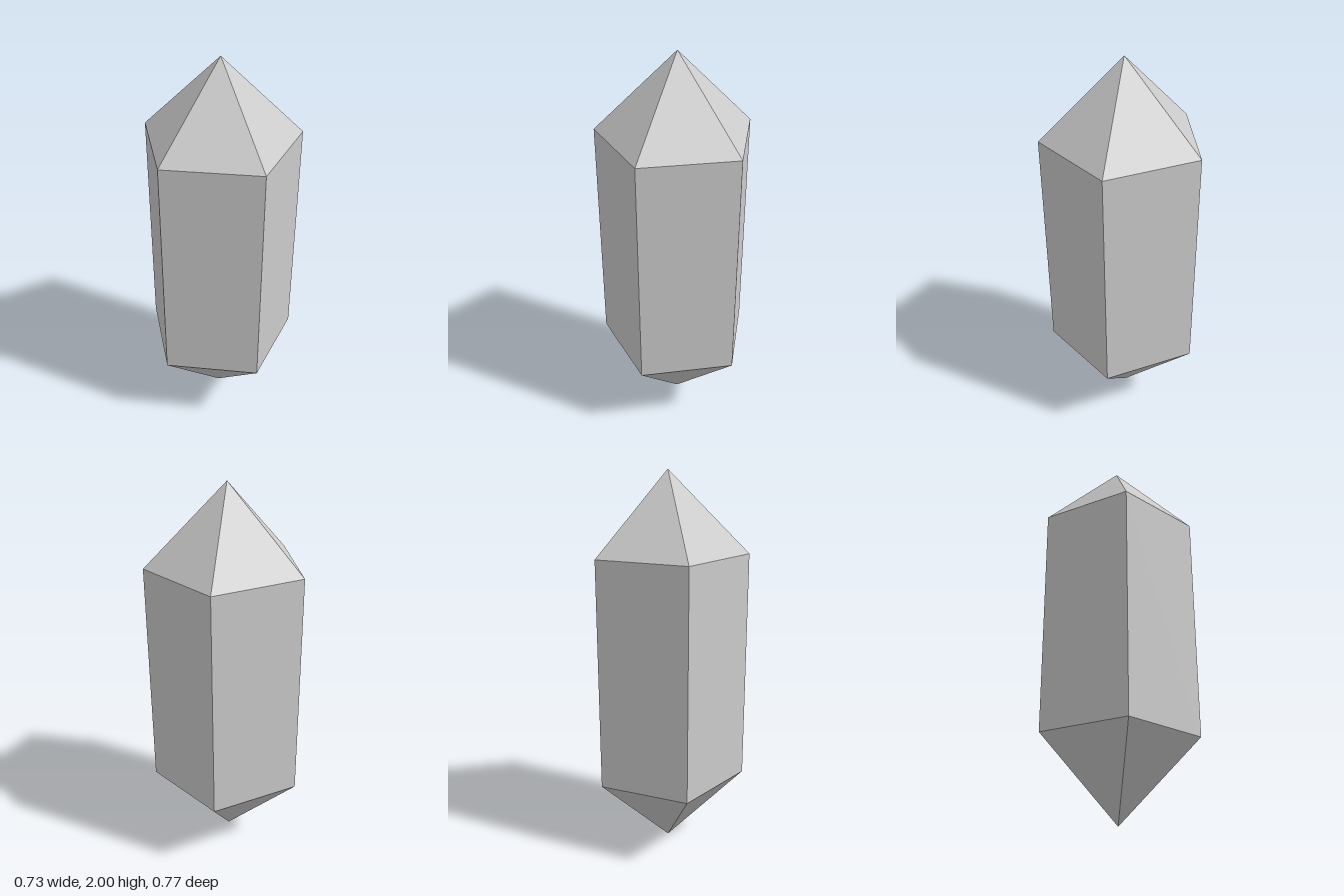
import * as THREE from 'three';

const SIDES = 5;
const RADIUS = 0.406;
const TIP = 0.405; // height of each pointed end
const HEIGHT = 2;

export function createModel() {
  const group = new THREE.Group();
  group.name = 'crystal';
  const material = new THREE.MeshStandardMaterial({ color: 0xcccccc, flatShading: true });

  // Five-sided shaft with a point at both ends, one edge towards -x
  const profile = [
    [0, 0],
    [RADIUS, TIP],
    [RADIUS, HEIGHT - TIP],
    [0, HEIGHT],
  ].map(([r, y]) => new THREE.Vector2(r, y));
  const crystal = new THREE.Mesh(new THREE.LatheGeometry(profile, SIDES, -Math.PI / 2), material);
  crystal.name = 'crystalBody';

  // Shift the axis so the pentagon's width is centred
  crystal.position.x = RADIUS * (1 - Math.cos(Math.PI / SIDES)) / 2;
  group.add(crystal);
  return group;
}
